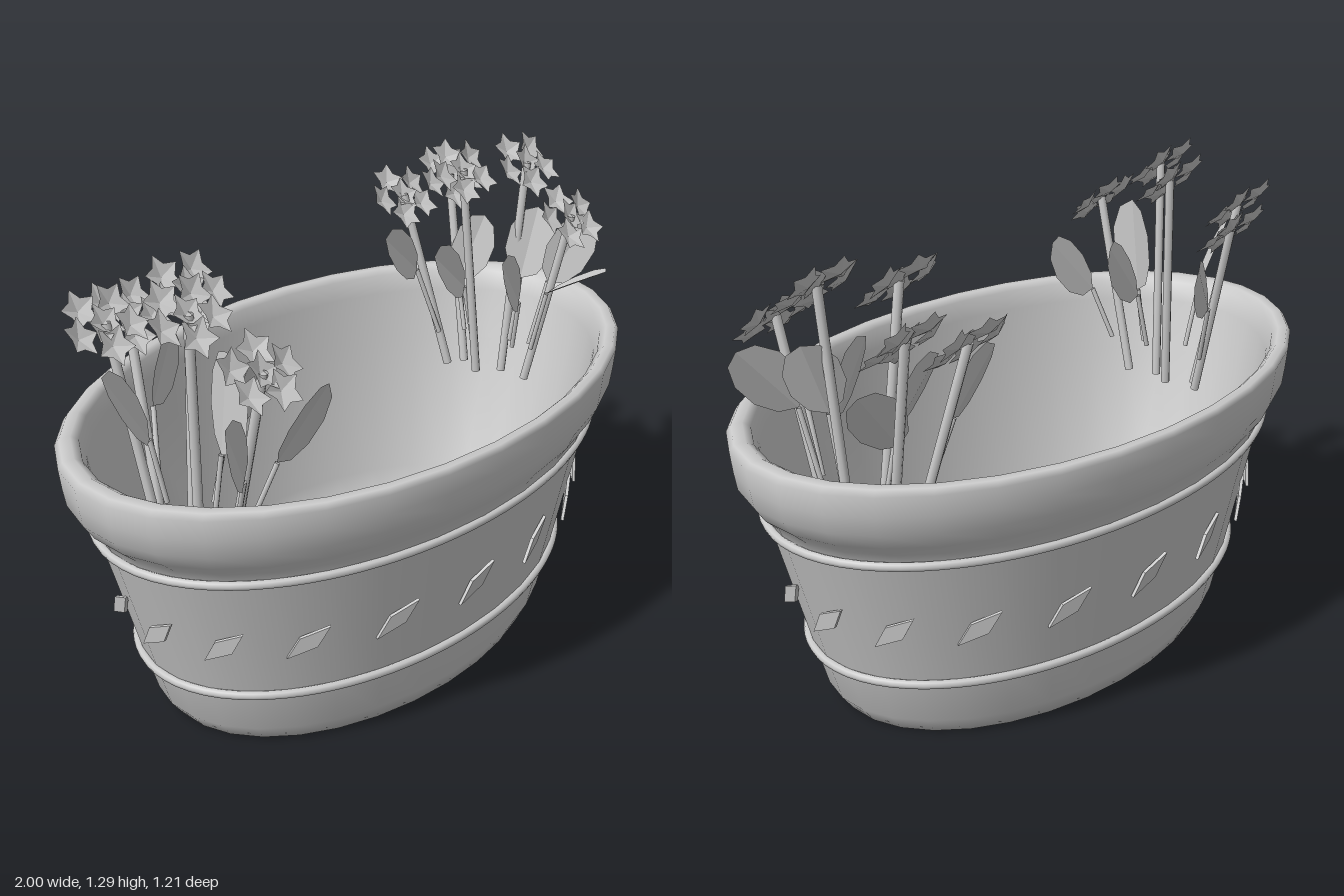
import * as THREE from 'three';

const grey = new THREE.MeshStandardMaterial({ color: 0xcccccc, side: THREE.DoubleSide });
grey.name = 'light grey';
const V = (x, y, z) => new THREE.Vector3(x, y, z);
const DEPTH = 0.605; // oval ratio of the pot

function add(parent, name, geometry) {
  const mesh = new THREE.Mesh(geometry, grey);
  mesh.name = name;
  parent.add(mesh);
  return mesh;
}

function faceted(geometry) {
  const g = geometry.toNonIndexed();
  g.computeVertexNormals();
  return g;
}

// five-pointed blossom with a sunken centre
function starGeometry(radius) {
  const g = new THREE.CircleGeometry(radius, 10);
  const p = g.attributes.position;
  p.setZ(0, -0.016);
  for (let i = 1; i < p.count; i++) {
    if (i % 2 === 0) p.setXYZ(i, p.getX(i) * 0.6, p.getY(i) * 0.6, -0.004);
  }
  return faceted(g);
}

// oval leaf, slightly folded along its midrib
function leafGeometry(width, length) {
  const g = new THREE.CircleGeometry(1, 10, Math.PI / 2);
  g.scale(width / 2, length / 2, 1);
  const p = g.attributes.position;
  for (let i = 0; i < p.count; i++) p.setZ(i, Math.abs(p.getX(i)) * 0.15);
  return faceted(g);
}

function rod(parent, name, a, b, radius) {
  add(parent, name, new THREE.TubeGeometry(new THREE.LineCurve3(a, b), 1, radius, 8));
}

// heads: centre; leaves: [centre, direction of the tip, facing, width, length]
function plant(name, baseX, heads, leaves) {
  const group = new THREE.Group();
  group.name = name;
  const star = starGeometry(0.056);
  for (const [x, y, z] of heads) {
    const head = new THREE.Group();
    head.name = 'flowerHead';
    head.position.set(x, y, z);
    head.rotation.x = -0.82;
    for (let i = 0; i < 6; i++) {
      const a = i * Math.PI * 0.4 + x * 9;
      const blossom = add(head, 'blossom', star);
      const r = i === 5 ? 0 : 1;
      blossom.position.set(Math.cos(a) * 0.088 * r, Math.sin(a) * 0.062 * r, r ? 0 : 0.008);
      blossom.rotation.set(0.15 + 0.1 * Math.sin(a * 3), 0.15 * Math.cos(a * 2), a * 1.7);
    }
    group.add(head);
    rod(group, 'stem', V(baseX + (x - baseX) * 0.3, 0.55, z * 0.5), V(x, y, z), 0.013);
  }
  for (const [centre, tip, facing, width, length] of leaves) {
    const up = V(...tip).normalize();
    const side = up.clone().cross(V(...facing)).normalize();
    const leaf = add(group, 'leaf', leafGeometry(width, length));
    leaf.quaternion.setFromRotationMatrix(
      new THREE.Matrix4().makeBasis(side, up, side.clone().cross(up)));
    leaf.position.set(...centre);
    const foot = V(...centre).addScaledVector(up, -length / 2);
    rod(group, 'leafStalk', V(baseX + (foot.x - baseX) * 0.5, 0.66, foot.z * 0.75), foot, 0.007);
  }
  return group;
}

export function createModel() {
  const model = new THREE.Group();
  model.name = 'ovalPlanter';

  // hollow pot: outer wall, rolled rim, inner wall and floor
  const profile = [
    [0, 0], [0.69, 0], [0.73, 0.05], [0.773, 0.18], [0.893, 0.56],
    [0.91, 0.6], [0.95, 0.635], [0.982, 0.68], [0.992, 0.73], [1, 0.785], [0.985, 0.8],
    [0.95, 0.8], [0.925, 0.785], [0.905, 0.73], [0.87, 0.58], [0.74, 0.18], [0.65, 0.05], [0, 0.05],
  ].map(([r, y]) => new THREE.Vector2(r, y));
  add(model, 'pot', new THREE.LatheGeometry(profile, 32)).scale.z = DEPTH;

  // raised bands
  for (const [y, rx, rz] of [[0.183, 0.78, 0.473], [0.567, 0.904, 0.544]]) {
    const points = [];
    for (let i = 0; i < 32; i++) {
      const a = (i / 32) * Math.PI * 2;
      points.push(V(Math.sin(a) * rx, y, Math.cos(a) * rz));
    }
    const path = new THREE.CatmullRomCurve3(points, true);
    add(model, 'band', new THREE.TubeGeometry(path, 96, 0.012, 8, true));
  }

  // slanted diamond ornaments around the wall
  const diamond = new THREE.ExtrudeGeometry(
    new THREE.Shape([[-0.055, -0.05], [0.022, -0.014], [0.055, 0.05], [-0.022, 0.014]]
      .map(([x, y]) => new THREE.Vector2(x, y))),
    { depth: 0.009, bevelEnabled: false });
  for (let i = 0; i < 18; i++) {
    const a = THREE.MathUtils.degToRad(9.5 + 20 * i);
    const ornament = add(model, 'diamondOrnament', diamond);
    ornament.position.set(Math.sin(a) * 0.838, 0.36, Math.cos(a) * 0.838 * DEPTH);
    ornament.rotation.order = 'YXZ';
    ornament.rotation.y = a;
    ornament.rotation.x = 0.15;
  }

  // flowering plants at both ends
  model.add(plant('rightPlant', -0.69,
    [[-0.7, 1.085, 0.24], [-0.75, 1.205, 0.06], [-0.61, 1.2, -0.06], [-0.75, 1.12, -0.21], [-0.61, 1.085, -0.27]],
    [
      [[-0.81, 0.91, 0.24], [-0.5, 0.8, 0.2], [0.4, 0.1, 0.9], 0.15, 0.23],
      [[-0.55, 0.9, 0.24], [0.6, 0.7, 0.2], [0.3, 0.1, 0.9], 0.15, 0.23],
      [[-0.53, 0.92, 0.04], [0.6, 0.7, 0], [0.4, 0.1, 0.9], 0.15, 0.24],
      [[-0.52, 0.92, -0.24], [0.6, 0.7, -0.2], [0.4, 0.1, 0.9], 0.15, 0.22],
      [[-0.81, 0.94, -0.1], [-0.5, 0.8, -0.1], [0.6, 0.2, 0.8], 0.15, 0.24],
      [[-0.68, 0.96, 0.1], [0, 1, 0.1], [0.9, 0.1, 0.4], 0.2, 0.28],
    ]));
  model.add(plant('leftPlant', 0.69,
    [[0.73, 1.085, 0.24], [0.77, 1.205, 0.06], [0.61, 1.2, -0.06], [0.77, 1.12, -0.21], [0.61, 1.085, -0.27]],
    [
      [[0.5, 0.94, -0.2], [-0.7, 0.6, 0], [0.3, 0.1, 0.9], 0.14, 0.22],
      [[0.55, 0.9, -0.06], [-0.7, 0.6, 0], [0.4, 0.1, 0.9], 0.15, 0.22],
      [[0.78, 0.9, -0.13], [0.6, 0.7, 0], [-0.6, 0.2, 0.8], 0.14, 0.22],
      [[0.57, 0.9, 0.14], [-0.6, 0.7, 0.1], [0.3, 0.1, 0.9], 0.15, 0.22],
      [[0.82, 0.95, 0.19], [0.6, 0.7, 0.2], [-0.6, 0.2, 0.8], 0.15, 0.24],
      [[0.77, 0.96, 0.08], [0.4, 0.9, 0], [-0.7, 0.2, 0.7], 0.15, 0.22],
      [[0.69, 0.9, 0.29], [0.1, 0.5, 0.9], [0, 0.9, -0.4], 0.15, 0.21],
    ]));
  return model;
}
